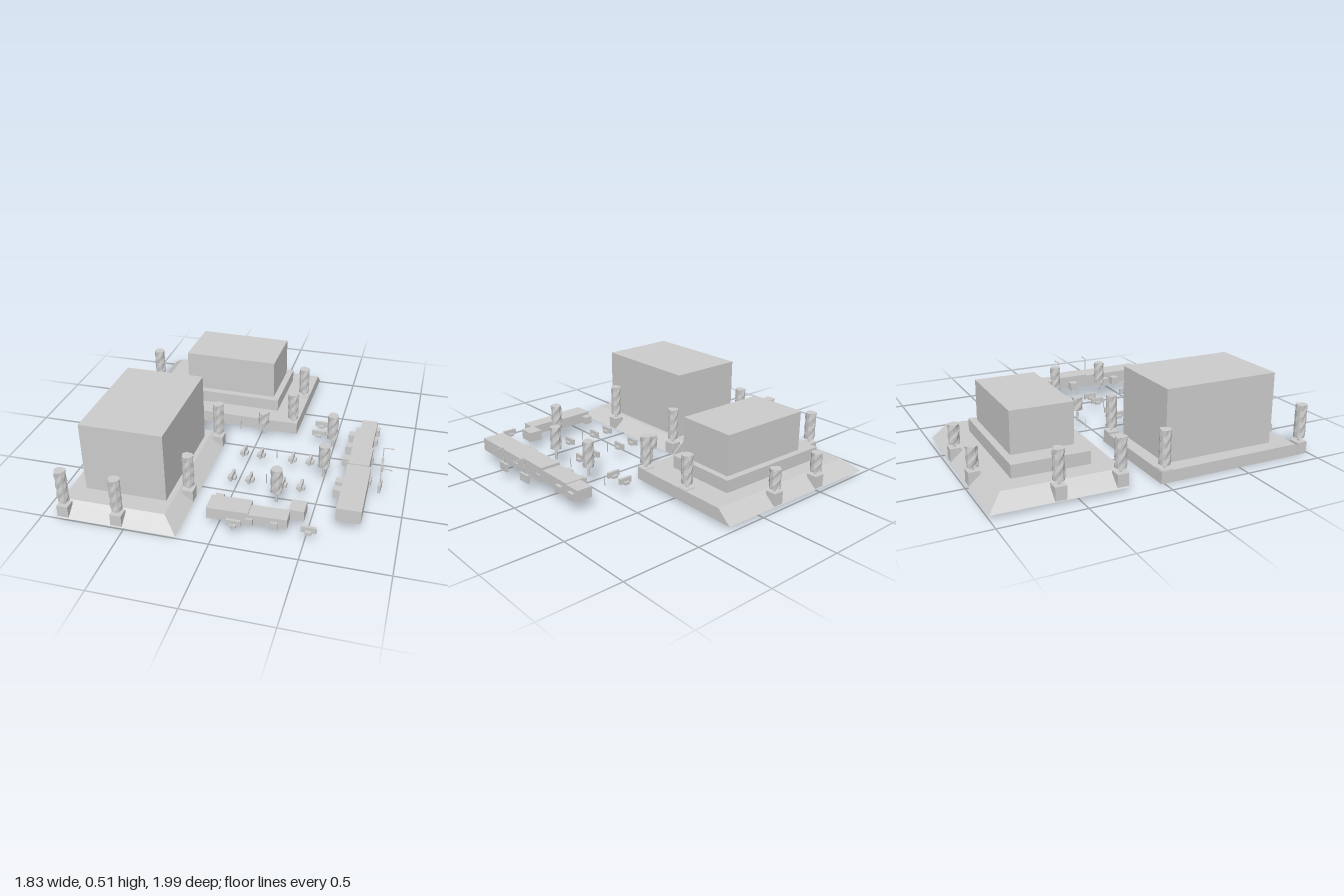
import * as THREE from 'three';

const material = new THREE.MeshStandardMaterial({ color: 0xcccccc, flatShading: true, side: THREE.DoubleSide });

function add(parent, geometry, name, x = 0, y = 0, z = 0, turn = 0) {
  const mesh = new THREE.Mesh(geometry, material);
  mesh.name = name;
  mesh.position.set(x, y, z);
  mesh.rotation.y = turn;
  parent.add(mesh);
  return mesh;
}

// Box given by its limits, left open underneath
function shell(parent, name, x0, x1, y0, y1, z0, z1, turn = 0) {
  const g = new THREE.BoxGeometry(x1 - x0, y1 - y0, z1 - z0);
  const index = Array.from(g.index.array);
  index.splice(18, 6);
  g.setIndex(index);
  return add(parent, g, name, (x0 + x1) / 2, (y0 + y1) / 2, (z0 + z1) / 2, turn);
}

// Open-bottomed terrace: upright walls on -x and -z, ramps on +x and +z
function terraceGeometry(w, d, h, ramp) {
  const x = w / 2, z = d / 2;
  const corners = [
    -x, 0, -z, x, 0, -z, x, 0, z, -x, 0, z,
    -x, h, -z, x - ramp, h, -z, x - ramp, h, z - ramp, -x, h, z - ramp,
  ];
  const index = [];
  const quad = (a, b, c, d2) => index.push(a, b, c, a, c, d2);
  quad(4, 7, 6, 5);
  quad(0, 4, 5, 1);
  quad(1, 5, 6, 2);
  quad(2, 6, 7, 3);
  quad(3, 7, 4, 0);
  const g = new THREE.BufferGeometry();
  g.setAttribute('position', new THREE.Float32BufferAttribute(corners, 3));
  g.setIndex(index);
  const flat = g.toNonIndexed();
  flat.computeVertexNormals();
  return flat;
}

// Column tree with a slightly ragged crown
function tree(parent, x, z, ground, low, high) {
  const g = new THREE.Group();
  g.name = 'tree';
  g.position.set(x, 0, z);
  const crown = new THREE.CylinderGeometry(0.034, 0.034, high - low, 10, 6);
  const p = crown.attributes.position;
  for (let i = 0; i < p.count; i++) {
    const angle = Math.atan2(p.getZ(i), p.getX(i));
    const k = 1 + 0.09 * Math.sin(3 * angle + p.getY(i) * 90);
    p.setX(i, p.getX(i) * k);
    p.setZ(i, p.getZ(i) * k);
  }
  crown.computeVertexNormals();
  add(g, crown, 'crown', 0, (low + high) / 2, 0);
  add(g, new THREE.CylinderGeometry(0.007, 0.01, low - ground, 6), 'trunk', 0, (low + ground) / 2, 0);
  parent.add(g);
}

function planter(parent, x, z, base, top, turn) {
  shell(parent, 'planter', x - 0.034, x + 0.034, base, top, z - 0.034, z + 0.034, turn);
}

// Bench: long upright panel with a short foot across it
function bench(parent, x, z, turn) {
  const g = new THREE.Group();
  g.name = 'bench';
  g.position.set(x, 0, z);
  g.rotation.y = turn;
  add(g, new THREE.BoxGeometry(0.016, 0.036, 0.085), 'benchPanel', 0, 0.085, 0);
  add(g, new THREE.BoxGeometry(0.05, 0.018, 0.036), 'benchFoot', 0, 0.072, 0);
  parent.add(g);
}

function streetLamp(parent, x, z, turn) {
  const g = new THREE.Group();
  g.name = 'streetLamp';
  g.position.set(x, 0, z);
  g.rotation.y = turn;
  add(g, new THREE.BoxGeometry(0.016, 0.05, 0.08), 'lampBase', 0, 0.095, 0);
  add(g, new THREE.CylinderGeometry(0.003, 0.003, 0.15, 6), 'pole', 0, 0.145, 0);
  add(g, new THREE.BoxGeometry(0.06, 0.004, 0.004), 'arm', 0.03, 0.217, 0);
  add(g, new THREE.BoxGeometry(0.016, 0.005, 0.008), 'lampHead', 0.055, 0.215, 0);
  parent.add(g);
}

export function createModel() {
  const model = new THREE.Group();
  model.name = 'plaza';

  // Front terrace with the tall building
  const front = new THREE.Group();
  front.name = 'frontTerrace';
  model.add(front);
  add(front, terraceGeometry(0.71, 1.01, 0.072, 0.09), 'terrace', -0.555, 0, 0.485, 0.005);
  shell(front, 'groundFloor', -0.818, -0.322, 0.072, 0.155, 0.06, 0.778);
  shell(front, 'upperFloors', -0.82, -0.32, 0.155, 0.508, 0.058, 0.78);
  for (const [x, z] of [[-0.875, 0.02], [-0.235, 0.02], [-0.235, 0.63], [-0.875, 0.952], [-0.55, 0.952]]) {
    planter(front, x, z, 0.002, 0.076, 0.005);
    tree(front, x, z, 0.07, 0.1, 0.305);
  }

  // Back terrace with the stepped building, slightly turned
  const back = new THREE.Group();
  back.name = 'backTerrace';
  model.add(back);
  const skew = -0.0175;
  add(back, terraceGeometry(1.15, 0.785, 0.078, 0.09), 'terrace', -0.33, 0.022, -0.598, Math.PI + skew);
  shell(back, 'podium', -0.697, 0.08, 0.1, 0.178, -0.8, -0.338, skew);
  shell(back, 'tower', -0.57, 0.04, 0.178, 0.43, -0.757, -0.382, skew);
  for (const [x, z, low, high] of [
    [-0.87, -0.61, 0.13, 0.308], [-0.87, -0.25, 0.13, 0.308], [0.205, -0.59, 0.13, 0.308],
    [0.205, -0.225, 0.13, 0.308], [-0.5, -0.955, 0.125, 0.245], [-0.14, -0.95, 0.125, 0.245],
  ]) {
    planter(back, x, z, 0.025, 0.104, skew);
    tree(back, x, z, 0.1, low, high);
  }

  // Side row of low shops with counters
  const sideRow = new THREE.Group();
  sideRow.name = 'sideShops';
  model.add(sideRow);
  shell(sideRow, 'shop', 0.66, 0.76, 0.072, 0.14, -0.29, -0.18);
  shell(sideRow, 'shop', 0.636, 0.76, 0.072, 0.145, -0.18, 0.06);
  shell(sideRow, 'shop', 0.645, 0.772, 0.072, 0.162, 0.06, 0.265);
  shell(sideRow, 'shop', 0.644, 0.786, 0.072, 0.155, 0.265, 0.71, 0.012);
  for (const z of [-0.13, 0.01, 0.15, 0.4, 0.48]) {
    shell(sideRow, 'counter', 0.595, 0.645, 0.072, 0.125, z - 0.025, z + 0.025);
  }
  for (const [x, z] of [[0.77, -0.24], [0.77, -0.12], [0.77, 0.09], [0.785, 0.32]]) {
    shell(sideRow, 'sideDoor', x - 0.02, x + 0.01, 0.072, 0.115, z - 0.025, z + 0.025);
  }

  // Front row of low shops
  const frontRow = new THREE.Group();
  frontRow.name = 'frontShops';
  model.add(frontRow);
  shell(frontRow, 'shop', -0.06, 0.18, 0.06, 0.13, 0.725, 0.85, 0.03);
  shell(frontRow, 'shop', 0.18, 0.4, 0.06, 0.122, 0.75, 0.845, 0.03);
  shell(frontRow, 'shop', 0.39, 0.477, 0.06, 0.125, 0.65, 0.75);
  shell(frontRow, 'counter', -0.05, 0, 0.06, 0.11, 0.68, 0.73);
  shell(frontRow, 'counter', 0.2, 0.25, 0.06, 0.09, 0.74, 0.76);
  for (const x of [0.19, 0.33]) shell(frontRow, 'frontDoor', x - 0.02, x + 0.02, 0.06, 0.1, 0.84, 0.86);

  // Benches in the square
  for (const x of [-0.02, 0.09, 0.29, 0.4]) for (const z of [0.18, 0.455]) bench(model, x, z, 0);
  for (const [x, z] of [[0.395, -0.26], [0.395, -0.145], [0.522, 0.842], [0.11, 0.888]]) {
    bench(model, x, z, Math.PI / 2);
  }

  // Trees in the square
  for (const [x, z, low, high] of [
    [0.04, -0.085, 0.14, 0.225], [0.5, -0.04, 0.13, 0.295], [0.505, 0.3, 0.14, 0.285], [0.288, 0.612, 0.135, 0.29],
  ]) tree(model, x, z, 0.065, low, high);

  // Slim posts
  for (const [x, z, high] of [
    [-0.12, -0.1, 0.13], [0.505, -0.205, 0.13], [0.19, 0.18, 0.13],
    [0.51, 0.135, 0.13], [0.19, 0.455, 0.13], [0.115, 0.93, 0.13],
  ]) {
    add(model, new THREE.CylinderGeometry(0.003, 0.003, high - 0.065, 6), 'post', x, (high + 0.065) / 2, z);
  }

  // Street lamps behind the side shops
  streetLamp(model, 0.84, 0.135, 0.05);
  streetLamp(model, 0.85, 0.355, -0.05);
  return model;
}
